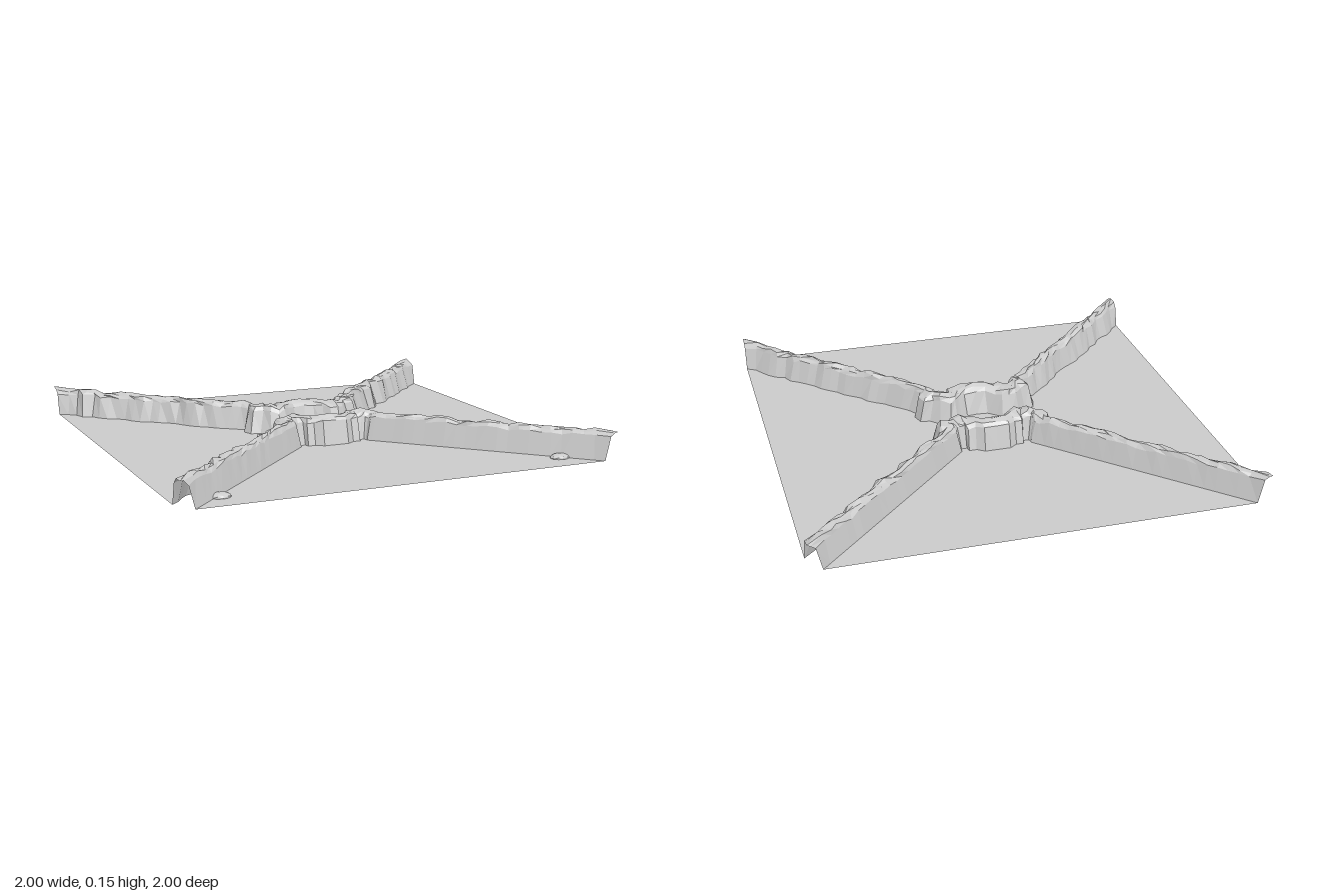
import * as THREE from 'three';

const GROUND = 0.015;
const ARM_STEPS = 22;

// Small seeded generator, returns values in -1..1
function seeded(seed) {
  let s = seed;
  return () => {
    s = (s * 16807) % 2147483647;
    return (s / 2147483647) * 2 - 1;
  };
}

// Half of the central bend: [outer x, outer z, inner x, inner z]
const BEND = [
  [0, 0.25, 0, 0.11], [0.06, 0.25, 0.05, 0.105], [0.095, 0.225, 0.085, 0.075],
  [0.13, 0.225, 0.11, 0.05], [0.135, 0.2, 0.15, 0.04], [0.155, 0.2, 0.195, 0.06],
  [0.16, 0.2, 0.235, 0.1], [0.165, 0.21, 0.28, 0.11], [0.165, 0.225, 0.295, 0.16],
];

// Foot points of one half wall, from the middle to the corner
function halfFeet(rand) {
  const feet = BEND.map((f) => [...f]);
  for (let k = 0; k <= ARM_STEPS; k++) {
    const t = k / ARM_STEPS;
    const wave = k < ARM_STEPS ? rand() * 0.009 : 0;
    feet.push([
      0.18 + 0.76 * t, 0.24 + 0.76 * t,
      0.28 + 0.72 * t + wave, 0.2 + 0.7 * t - wave,
    ]);
  }
  return feet;
}

// Whole wall, left to right; side is +1 at the front and -1 at the back
function wallFeet(side, rand) {
  const mirrored = halfFeet(rand).slice(1).reverse().map(([a, b, c, d]) => [-a, b, -c, d]);
  return [...mirrored, ...halfFeet(rand)].map(([a, b, c, d]) => ({
    outer: new THREE.Vector3(a, GROUND, b * side),
    inner: new THREE.Vector3(c, GROUND, d * side),
  }));
}

// Battered sides with a lumpy rock crest, open below and at the ends
function wallGeometry(feet, side, rand) {
  const positions = [];
  const index = [];
  const clamp = (v) => THREE.MathUtils.clamp(v, -1, 1);
  feet.forEach(({ outer, inner }, i) => {
    const end = i === 0 || i === feet.length - 1;
    const width = outer.distanceTo(inner);
    const edge = 0.025 / width;
    const lump = rand() * 0.006;
    const rows = [
      [0, GROUND], [edge, 0.118], [edge + 0.1, 0.134],
      [0.5, 0.139], [0.9 - edge * 1.2, 0.132], [1 - edge * 1.2, 0.116], [1, GROUND],
    ];
    rows.forEach(([t, y], r) => {
      const p = outer.clone().lerp(inner, t);
      p.y = y;
      if (r > 0 && r < 6) {
        p.y = Math.min(0.15, y + lump + rand() * 0.006);
        if (!end && r > 1) {
          p.x += rand() * 0.007;
          p.z += rand() * 0.007;
        }
      }
      if (end) {
        // Clip the end section to the two edges of the ground
        if (r >= 2 && r <= 4) p.x = Math.sign(p.x) * (r === 2 ? 0.985 : 1);
        if (r >= 2 && r <= 4) p.z = side * (r === 4 ? 0.95 : 1);
        if (r === 1) p.set(Math.sign(p.x) * 0.965, p.y, side);
        if (r === 5) p.set(Math.sign(p.x), p.y, side * 0.925);
      }
      positions.push(clamp(p.x), p.y, clamp(p.z));
    });
  });
  const n = 7;
  for (let i = 0; i < feet.length - 1; i++) {
    for (let r = 0; r < n - 1; r++) {
      const a = i * n + r, b = a + n;
      if (side > 0) index.push(a, b, b + 1, a, b + 1, a + 1);
      else index.push(a, b + 1, b, a, a + 1, b + 1);
    }
  }
  const g = new THREE.BufferGeometry();
  g.setAttribute('position', new THREE.Float32BufferAttribute(positions, 3));
  g.setIndex(index);
  g.computeVertexNormals();
  return g;
}

// Flat ground region bounded by a loop of points
function groundGeometry(loop) {
  const shape = new THREE.Shape(loop.map((p) => new THREE.Vector2(p.x, -p.z)));
  return new THREE.ShapeGeometry(shape).rotateX(-Math.PI / 2).translate(0, GROUND, 0);
}

export function createModel() {
  const group = new THREE.Group();
  const rock = new THREE.MeshStandardMaterial({
    color: 0xcccccc, flatShading: true, side: THREE.DoubleSide,
  });
  const add = (name, geometry) => {
    const mesh = new THREE.Mesh(geometry, rock);
    mesh.name = name;
    group.add(mesh);
    return mesh;
  };

  // Two bent walls and the ground behind each
  const rand = seeded(4711);
  const front = wallFeet(1, rand);
  const back = wallFeet(-1, rand);
  add('frontWall', wallGeometry(front, 1, rand));
  add('backWall', wallGeometry(back, -1, rand));
  add('frontGround', groundGeometry(front.map((f) => f.outer)));
  add('backGround', groundGeometry(back.map((f) => f.outer)));

  // Ground between the walls, passing through the narrow middle
  add('middleGround', groundGeometry([
    ...front.map((f) => f.inner), ...back.map((f) => f.inner).reverse(),
  ]));

  // Low mounds at the foot of the front wall
  for (const s of [-1, 1]) {
    const mound = add(s > 0 ? 'leftMound' : 'rightMound', new THREE.IcosahedronGeometry(1, 1));
    mound.scale.set(0.045, 0.018, 0.035);
    mound.position.set(s * 0.79, 0.018, 0.87);
  }
  return group;
}
